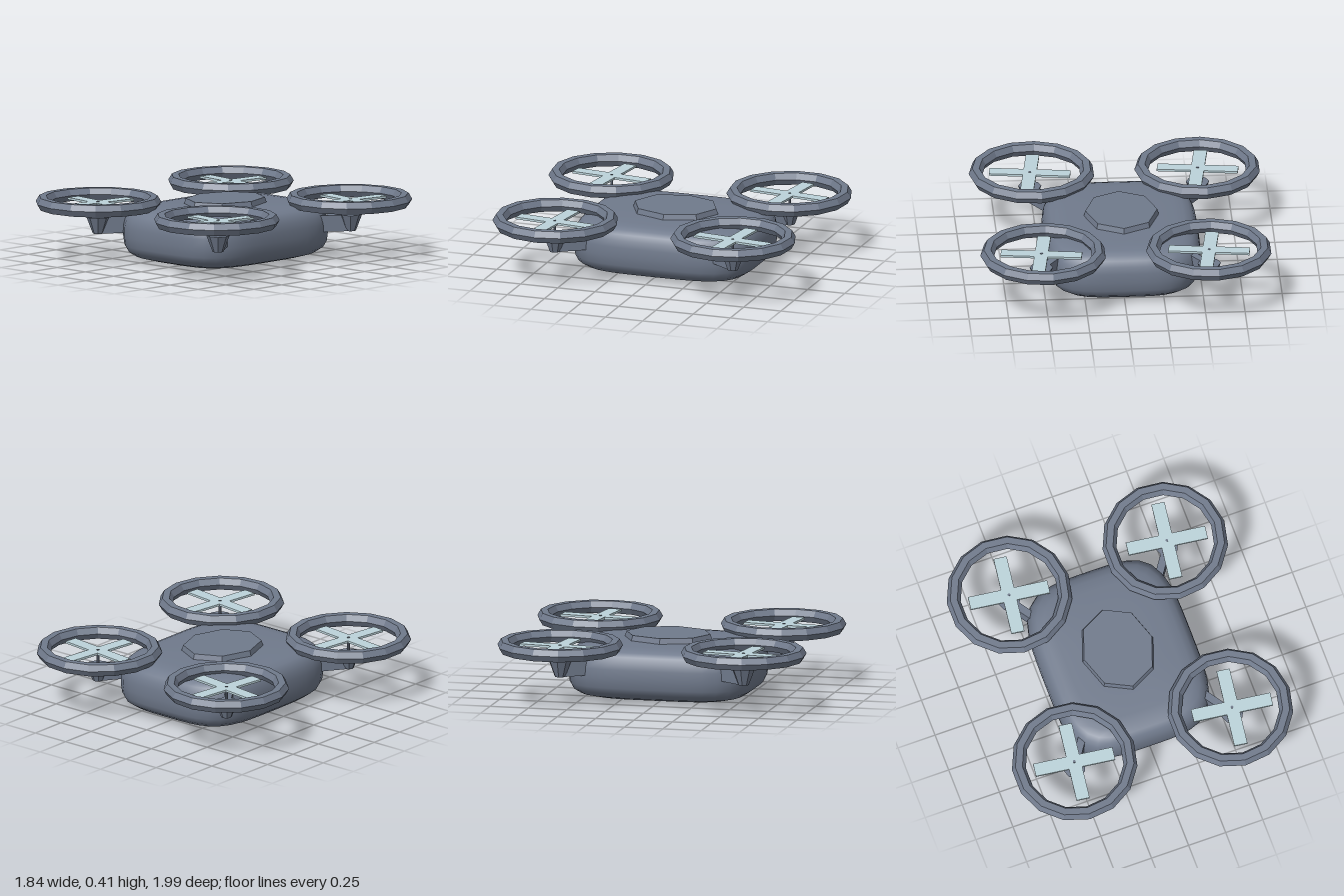
import * as THREE from 'three';

const slate = new THREE.MeshStandardMaterial({ color: 0x707a8c });
const slateFlat = new THREE.MeshStandardMaterial({ color: 0x707a8c, flatShading: true });
const bladeMat = new THREE.MeshStandardMaterial({ color: 0xbcd3da, flatShading: true });

function add(parent, name, geometry, material, x = 0, y = 0, z = 0) {
  const mesh = new THREE.Mesh(geometry, material);
  mesh.name = name;
  mesh.position.set(x, y, z);
  parent.add(mesh);
  return mesh;
}

// Soft pillow hull: rounded-rectangle sections [y, halfWidth, halfLength] stacked upwards
function hullGeometry() {
  const layers = [
    [0, 0, 0], [0.001, 0.15, 0.2], [0.004, 0.27, 0.36], [0.011, 0.36, 0.46], [0.03, 0.425, 0.53],
    [0.06, 0.465, 0.573], [0.1, 0.485, 0.592], [0.16, 0.492, 0.599], [0.22, 0.491, 0.598],
    [0.265, 0.482, 0.589], [0.3, 0.465, 0.57], [0.325, 0.44, 0.543], [0.34, 0.4, 0.5],
    [0.348, 0.34, 0.43], [0.353, 0.2, 0.26], [0.355, 0, 0],
  ];
  const n = 48, power = 4, pos = [], index = [];
  for (const [y, w, l] of layers) {
    for (let j = 0; j < n; j++) {
      const t = (j / n) * Math.PI * 2, c = Math.cos(t), s = Math.sin(t);
      const r = (Math.abs(c) ** power + Math.abs(s) ** power) ** (-1 / power);
      pos.push(c * r * w, y, s * r * l);
    }
  }
  for (let i = 0; i < layers.length - 1; i++) {
    for (let j = 0; j < n; j++) {
      const k = (j + 1) % n;
      const a = i * n + j, b = i * n + k, c = a + n, d = b + n;
      if (i < layers.length - 2) index.push(a, c, b);
      else index.push(a, c, b);
      if (i > 0 && i < layers.length - 2) index.push(b, c, d);
      else if (i === 0) index.push(b, c, d);
    }
  }
  const g = new THREE.BufferGeometry();
  g.setAttribute('position', new THREE.Float32BufferAttribute(pos, 3));
  g.setIndex(index);
  g.computeVertexNormals();
  // Pole vertices belong to flat areas
  for (let j = 0; j < n; j++) {
    g.attributes.normal.setXYZ(j, 0, -1, 0);
    g.attributes.normal.setXYZ((layers.length - 1) * n + j, 0, 1, 0);
  }
  return g;
}

function rotorUnit(sx, sz) {
  const unit = new THREE.Group();
  unit.name = `${sz > 0 ? 'front' : 'back'}${sx > 0 ? 'Left' : 'Right'}Rotor`;
  unit.position.set(sx * 0.532, 0, sz * 0.598);

  // Faceted guard ring
  const ring = new THREE.TorusGeometry(0.355, 0.0445, 6, 15).rotateX(-Math.PI / 2);
  add(unit, 'guardRing', ring, slateFlat, sx > 0 ? -0.012 : 0.002, 0.369, 0);

  // Crossed blades
  const blades = new THREE.Group();
  blades.name = 'propeller';
  blades.position.y = 0.365;
  blades.rotation.y = -0.13;
  unit.add(blades);
  const h = 0.0425, L = 0.257;
  const cross = new THREE.Shape([
    [h, h], [h, L], [-h, L], [-h, h], [-L, h], [-L, -h],
    [-h, -h], [-h, -L], [h, -L], [h, -h], [L, -h], [L, h],
  ].map(([x, y]) => new THREE.Vector2(x, y)));
  const crossGeo = new THREE.ExtrudeGeometry(cross, { depth: 0.014, bevelEnabled: false })
    .translate(0, 0, -0.007).rotateX(-Math.PI / 2);
  add(blades, 'blades', crossGeo, bladeMat);

  // Motor cone and shaft
  add(unit, 'motorHousing', new THREE.CylinderGeometry(0.074, 0.034, 0.105, 8), slateFlat, 0, 0.223, 0);
  add(unit, 'shaft', new THREE.CylinderGeometry(0.009, 0.009, 0.115, 8), slateFlat, 0, 0.318, 0);

  // Strut running diagonally into the hull
  const dx = -sx * 0.13, dz = -sz * 0.19;
  const strut = add(unit, 'strut', new THREE.BoxGeometry(0.05, 0.104, Math.hypot(dx, dz)),
    slateFlat, dx / 2, 0.223, dz / 2);
  strut.rotation.y = Math.atan2(dx, dz);
  return unit;
}

export function createModel() {
  const model = new THREE.Group();
  model.name = 'quadcopter';
  add(model, 'hull', hullGeometry(), slate, -0.008, 0, -0.02);

  // Eight-sided hatch on top
  const hatch = add(model, 'topHatch', new THREE.CylinderGeometry(0.95, 1, 0.045, 8), slateFlat, -0.01, 0.3645, -0.02);
  hatch.scale.set(0.24, 1, 0.288);

  for (const sx of [-1, 1]) for (const sz of [-1, 1]) model.add(rotorUnit(sx, sz));
  return model;
}
